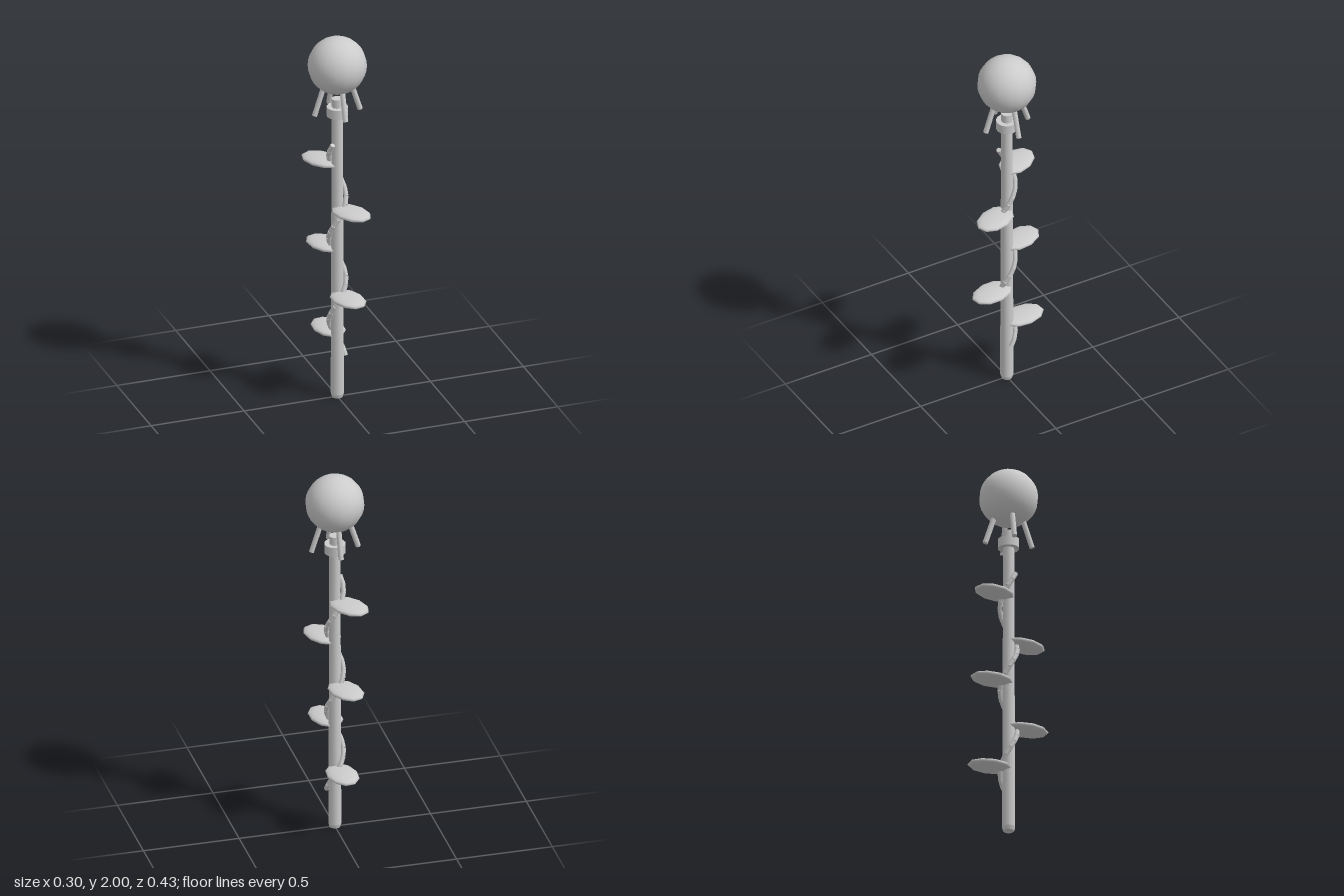
import * as THREE from 'three';

const material = new THREE.MeshStandardMaterial({ color: 0xcccccc });

function addMesh(parent, name, geometry, x = 0, y = 0, z = 0) {
  const mesh = new THREE.Mesh(geometry, material);
  mesh.name = name;
  mesh.position.set(x, y, z);
  parent.add(mesh);
  return mesh;
}

// Rod whose ends sit on two points
function addRod(parent, name, a, b, radius, sides) {
  const rod = addMesh(parent, name, new THREE.CylinderGeometry(radius, radius, a.distanceTo(b), sides));
  rod.position.copy(a).lerp(b, 0.5);
  rod.quaternion.setFromUnitVectors(new THREE.Vector3(0, 1, 0), b.clone().sub(a).normalize());
  return rod;
}

// Vine helix: starts on the left and winds towards the back
const VINE_BOTTOM = 0.22, VINE_TOP = 1.42, VINE_PITCH = 0.46;
const vineAngle = (y) => ((y - VINE_BOTTOM) / VINE_PITCH) * Math.PI * 2;
const around = (y, radius) => {
  const a = vineAngle(y);
  return new THREE.Vector3(Math.cos(a) * radius, y, -Math.sin(a) * radius);
};

export function createModel() {
  const staff = new THREE.Group();
  staff.name = 'staff';

  // Tapered shaft with a small chamfered foot
  addMesh(staff, 'shaft', new THREE.CylinderGeometry(0.029, 0.034, 1.58, 12), 0, 0.81, 0);
  addMesh(staff, 'foot', new THREE.CylinderGeometry(0.034, 0.028, 0.02, 12), 0, 0.01, 0);

  // Collar and neck under the orb
  addMesh(staff, 'collar', new THREE.CylinderGeometry(0.055, 0.055, 0.05, 12), 0, 1.595, 0);
  addMesh(staff, 'neck', new THREE.CylinderGeometry(0.029, 0.029, 0.07, 12), 0, 1.63, 0);

  // Orb
  addMesh(staff, 'orb', new THREE.SphereGeometry(0.15, 16, 16), 0, 1.85, 0);

  // Four prongs leaning in to the orb
  const prongs = new THREE.Group();
  prongs.name = 'prongs';
  staff.add(prongs);
  for (let i = 0; i < 4; i++) {
    const a = (i * Math.PI) / 2;
    const at = (r, y) => new THREE.Vector3(Math.cos(a) * r, y, Math.sin(a) * r);
    addRod(prongs, 'prong', at(0.122, 1.588), at(0.075, 1.735), 0.014, 8);
  }

  // Vine made of short jointed stems
  const vine = new THREE.Group();
  vine.name = 'vine';
  staff.add(vine);
  const joints = 32;
  for (let i = 0; i < joints; i++) {
    const y0 = THREE.MathUtils.lerp(VINE_BOTTOM, VINE_TOP, i / joints);
    const y1 = THREE.MathUtils.lerp(VINE_BOTTOM, VINE_TOP, (i + 1) / joints);
    addRod(vine, 'vineStem', around(y0, 0.044), around(y1, 0.044), 0.013, 6);
  }

  // Flat oval leaves pointing outward from the vine
  const leafGeometry = new THREE.SphereGeometry(1, 10, 8).scale(0.08, 0.021, 0.12);
  for (let i = 0; i < 5; i++) {
    const p = around(0.344 + i * 0.2375, 0.1);
    const leaf = addMesh(staff, 'leaf', leafGeometry, p.x, p.y, p.z);
    leaf.rotation.y = Math.atan2(p.x, p.z);
  }

  return staff;
}
